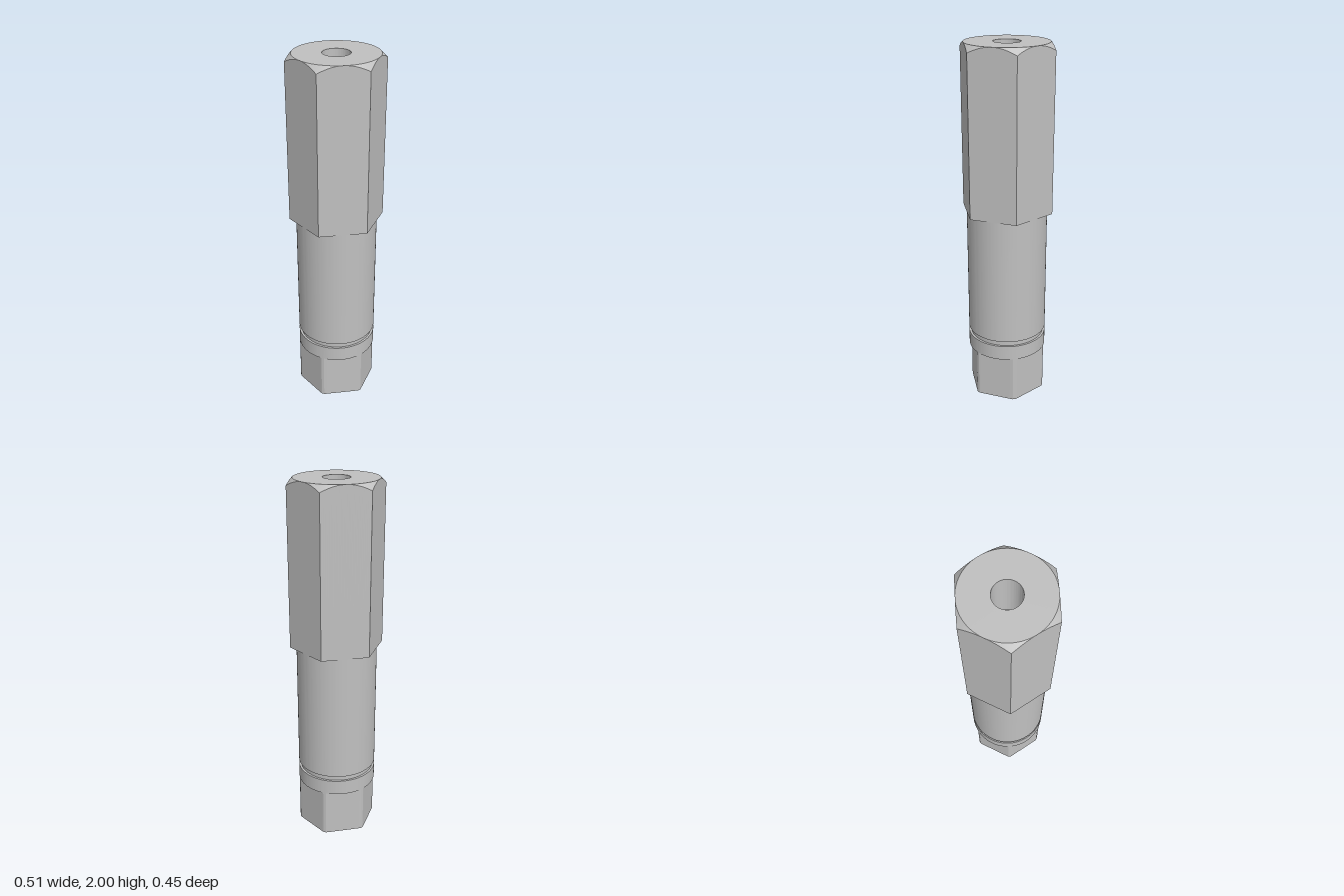
import * as THREE from 'three';
import { toCreasedNormals } from 'three/addons/utils/BufferGeometryUtils.js';

const SEGMENTS = 180;

// Radius of a hexagon with corners on the x axis, at angle t
const hexRadius = (apothem, t) => {
  const sector = Math.PI / 3;
  return apothem / Math.cos((t % sector) - sector / 2);
};

// Skin a list of rings; each ring is [radius, y] or a function of the angle
function loft(rings) {
  const pos = [], index = [];
  for (const ring of rings) {
    for (let i = 0; i <= SEGMENTS; i++) {
      const t = ((i % SEGMENTS) / SEGMENTS) * Math.PI * 2;
      const [r, y] = typeof ring === 'function' ? ring(t) : ring;
      pos.push(r * Math.cos(t), y, r * Math.sin(t));
    }
  }
  const row = SEGMENTS + 1;
  for (let j = 0; j < rings.length - 1; j++) {
    for (let i = 0; i < SEGMENTS; i++) {
      const a = j * row + i, b = a + row;
      index.push(a, b, a + 1, a + 1, b, b + 1);
    }
  }
  const geo = new THREE.BufferGeometry();
  geo.setAttribute('position', new THREE.Float32BufferAttribute(pos, 3));
  geo.setIndex(index);
  return toCreasedNormals(geo, 0.4);
}

export function createModel() {
  const group = new THREE.Group();
  const steel = new THREE.MeshStandardMaterial({ color: 0xc0c0c0 });
  steel.name = 'steel grey';

  const add = (name, rings) => {
    const mesh = new THREE.Mesh(loft(rings), steel);
    mesh.name = name;
    group.add(mesh);
  };

  // Lower hexagon, its corners turned down to the body diameter
  const tip = (y) => (t) => [Math.min(hexRadius(0.195, t), 0.22), y];
  add('lowerHexagon', [[0, 0], tip(0), tip(0.27)]);

  // Round shank with collar and retaining groove
  add('roundShank', [
    [0, 0.27], [0.22, 0.27], [0.22, 0.355], [0.208, 0.355],
    [0.208, 0.385], [0.22, 0.385], [0.22, 1.1],
  ]);

  // Upper hexagon with conical chamfer and a drilled blind hole
  const apothem = 0.223, top = 2;
  add('upperHexagon', [
    [0, 1.1],
    (t) => [hexRadius(apothem, t), 1.1],
    (t) => {
      const r = hexRadius(apothem, t);
      return [r, top - (r - apothem)];
    },
    [apothem, top], [0.072, top], [0.072, 1.7], [0, 1.65],
  ]);

  return group;
}
